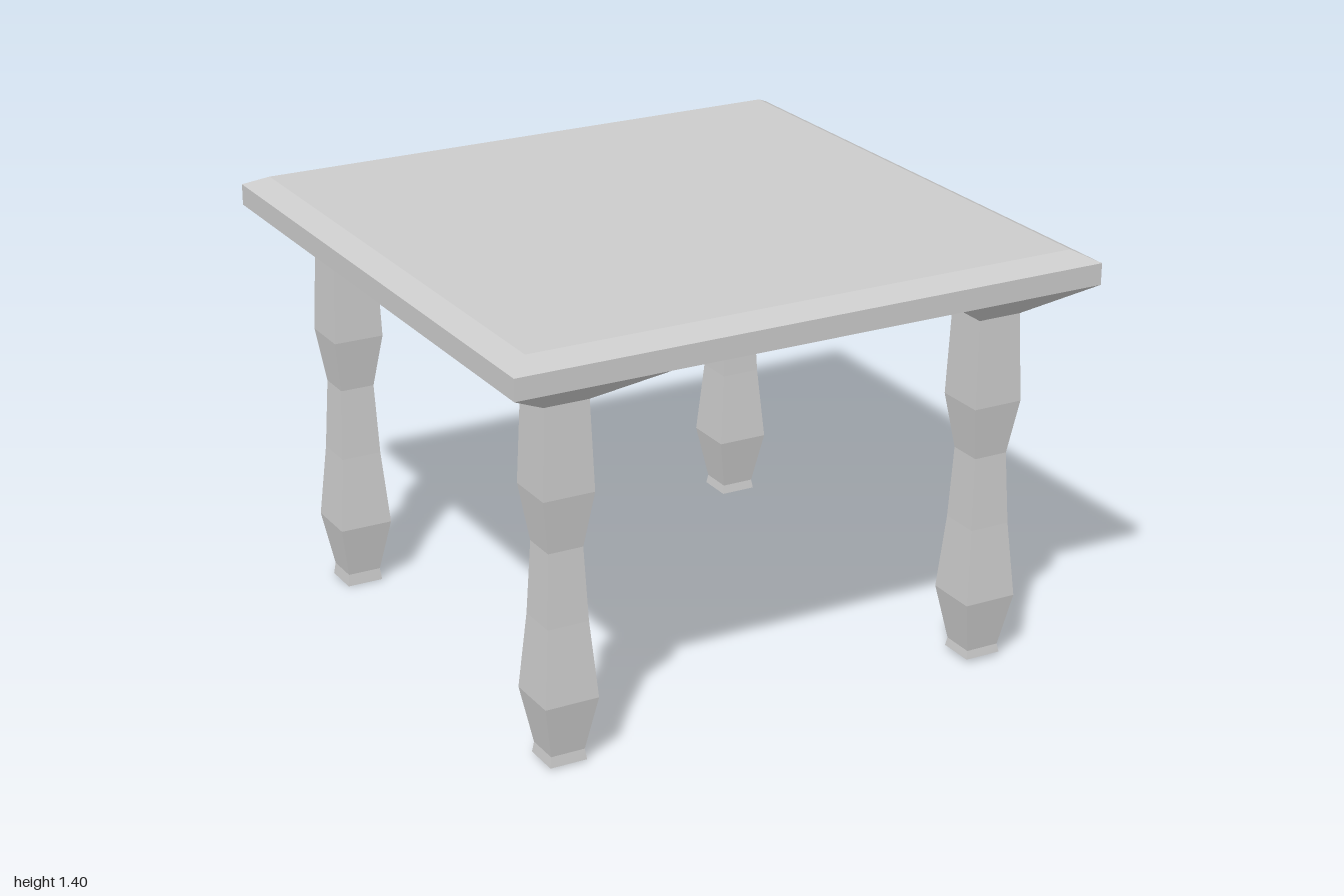
import * as THREE from 'three';

const material = new THREE.MeshStandardMaterial({
  color: 0xcccccc, flatShading: true,
});

// Closed solid through square sections, listed upwards: [y, half width, centre x, centre z]
function squareLoft(sections, name) {
  const positions = [];
  const index = [];
  for (const [y, h, cx = 0, cz = 0] of sections) {
    positions.push(cx - h, y, cz + h, cx + h, y, cz + h, cx + h, y, cz - h, cx - h, y, cz - h);
  }
  const last = (sections.length - 1) * 4;
  for (let ring = 0; ring < last; ring += 4) {
    for (let i = 0; i < 4; i++) {
      const a = ring + i;
      const b = ring + (i + 1) % 4;
      index.push(a, b, b + 4, a, b + 4, a + 4);
    }
  }
  index.push(0, 2, 1, 0, 3, 2);
  index.push(last, last + 1, last + 2, last, last + 2, last + 3);

  const indexed = new THREE.BufferGeometry();
  indexed.setAttribute('position', new THREE.Float32BufferAttribute(positions, 3));
  indexed.setIndex(index);
  const geometry = indexed.toNonIndexed();
  geometry.computeVertexNormals();
  const mesh = new THREE.Mesh(geometry, material);
  mesh.name = name;
  return mesh;
}

// Turned outline of a leg: [y, half width]
const legProfile = [
  [0.04, 0.057], [0.22, 0.09], [0.47, 0.069], [0.71, 0.058], [0.89, 0.085], [1.18, 0.075],
];

// Legs stand slightly out of line with each other
const legs = [
  { name: 'frontLeft', x: 0.758, z: 0.745, foot: 0.012 },
  { name: 'frontRight', x: -0.74, z: 0.735, foot: 0.005 },
  { name: 'backLeft', x: 0.745, z: -0.795, foot: 0.01 },
  { name: 'backRight', x: -0.75, z: -0.748, foot: 0 },
];

export function createModel() {
  const table = new THREE.Group();
  table.name = 'table';

  // Slab with a bevelled upper edge
  table.add(squareLoft([[1.3, 1], [1.37, 1], [1.405, 0.93]], 'tabletop'));

  for (const { name, x, z, foot } of legs) {
    const sections = [[foot, 0.062], ...legProfile].map(([y, h]) => [y, h, x, z]);
    table.add(squareLoft(sections, `${name}Leg`));

    // Bracket flares from the leg top to the corner of the slab
    table.add(squareLoft([
      [1.18, 0.075, x, z],
      [1.3, 0.25, Math.sign(x) * 0.75, Math.sign(z) * 0.75],
    ], `${name}Bracket`));
  }
  return table;
}
